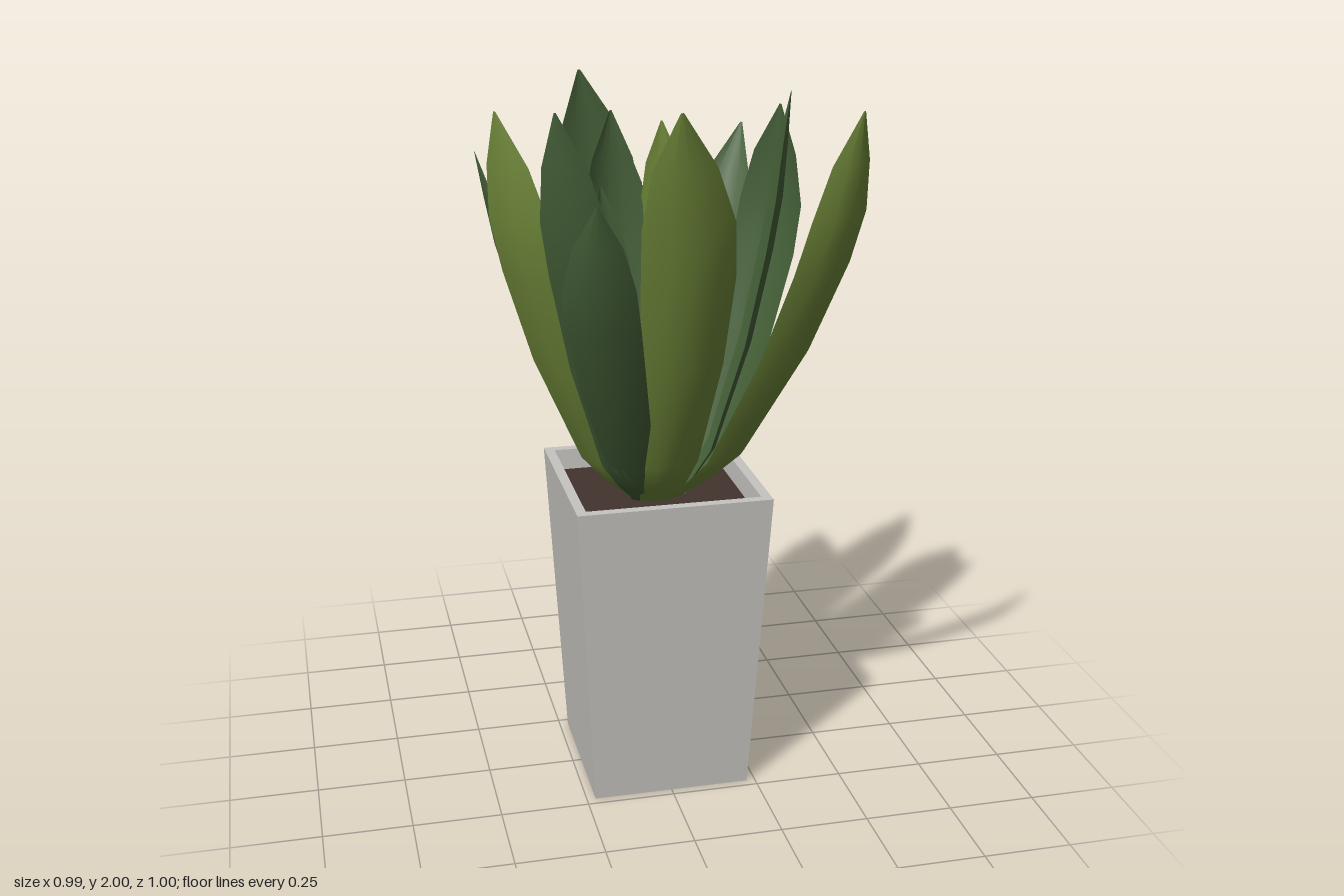
import * as THREE from 'three';

const concrete = new THREE.MeshStandardMaterial({ name: 'paleConcrete', color: 0xc6c4c0 });
const soilMat = new THREE.MeshStandardMaterial({ name: 'darkSoil', color: 0x42342e });
const olive = new THREE.MeshStandardMaterial({ name: 'oliveGreen', color: 0x718a3b, side: THREE.DoubleSide });
const green = new THREE.MeshStandardMaterial({ name: 'deepGreen', color: 0x456038, side: THREE.DoubleSide });

// Square tapered body from a [half width, height] profile
function squareLathe(profile) {
  const pts = profile.map(([h, y]) => new THREE.Vector2(h * Math.SQRT2, y));
  const g = new THREE.LatheGeometry(pts, 4, Math.PI / 4).toNonIndexed();
  g.computeVertexNormals();
  return g;
}

// Leaf width along its length: [t, fraction of the full half width]
const PROFILE = [[0, 0.4], [0.17, 0.52], [0.33, 0.66], [0.5, 0.9], [0.62, 1], [0.72, 0.97], [0.86, 0.66], [1, 0.03]];
const COLS = 4;

// Cupped leaf: tip [x,y,z], the two edges [x,z] at its widest, and the height there
function leafGeometry(tip, left, right, midY) {
  const half = new THREE.Vector3(right[0] - left[0], 0, right[1] - left[1]).multiplyScalar(0.5);
  const mid = new THREE.Vector3((left[0] + right[0]) / 2, midY, (left[1] + right[1]) / 2);
  const out = new THREE.Vector3(-half.z, 0, half.x).normalize();
  if (out.dot(mid) < 0) out.negate();
  const cup = 0.35 * half.length();
  mid.addScaledVector(out, cup);

  // The stem flares out of the soil, then bends upright
  const len = Math.hypot(mid.x, mid.z);
  const at = (r, y) => new THREE.Vector3(mid.x / len * r, y, mid.z / len * r);
  const spine = new THREE.CatmullRomCurve3([
    at(0.06, 0.83), at(0.06 + 0.34 * len, 0.99), mid, new THREE.Vector3(...tip)]);

  const pos = [], index = [];
  PROFILE.forEach(([t, w], i) => {
    const c = spine.getPoint(t);
    for (let j = 0; j <= COLS; j++) {
      const u = j / COLS * 2 - 1;
      const p = c.clone().addScaledVector(half, u * w).addScaledVector(out, -cup * w * u * u);
      pos.push(p.x, p.y, p.z);
      if (i && j) {
        const d = i * (COLS + 1) + j, b = d - COLS - 1;
        index.push(b - 1, b, d, b - 1, d, d - 1);
      }
    }
  });
  const g = new THREE.BufferGeometry();
  g.setAttribute('position', new THREE.Float32BufferAttribute(pos, 3));
  g.setIndex(index);
  g.computeVertexNormals();
  return g;
}

const LEAVES = [
  // front and sides
  ['frontLeaf', olive, [-0.045, 2, 0.5], [-0.125, 0.4], [0.135, 0.36], 1.64],
  ['frontLeftLeaf', olive, [0.45, 1.97, 0.39], [0.3, 0.4], [0.49, 0.28], 1.64],
  ['leftLeaf', green, [0.35, 1.98, 0.09], [0.28, 0.17], [0.31, 0.01], 1.64],
  ['backLeftLeaf', green, [0.37, 1.92, -0.07], [0.4, 0.03], [0.27, -0.14], 1.6],
  ['rightOliveLeaf', olive, [-0.46, 1.98, 0.25], [-0.46, 0.17], [-0.32, 0.3], 1.64],
  ['rightLeaf', green, [-0.49, 1.85, 0.07], [-0.41, 0], [-0.4, 0.16], 1.56],
  ['frontRightLeaf', green, [-0.34, 2, 0.43], [-0.36, 0.34], [-0.2, 0.41], 1.66],
  ['frontRightLowLeaf', green, [-0.25, 1.78, 0.48], [-0.32, 0.37], [-0.13, 0.4], 1.5],
  // back
  ['backSpreadLeaf', green, [0.38, 1.8, -0.5], [0.33, -0.29], [0.15, -0.38], 1.46],
  ['backLeaf', green, [-0.15, 2, -0.28], [0.03, -0.23], [-0.21, -0.25], 1.62],
  ['innerOliveLeaf', olive, [0.06, 1.87, -0.17], [0.14, -0.1], [0, -0.18], 1.58],
  ['innerBackLeaf', green, [-0.08, 1.9, -0.19], [0.01, -0.17], [-0.17, -0.14], 1.58],
  ['innerSmallLeaf', green, [-0.12, 1.7, -0.14], [-0.04, -0.12], [-0.16, -0.05], 1.45],
];

export function createModel() {
  const model = new THREE.Group();
  model.name = 'pottedPlant';
  const add = (name, geometry, material) => {
    const mesh = new THREE.Mesh(geometry, material);
    mesh.name = name;
    model.add(mesh);
    return mesh;
  };

  // Planter with a hollow rim, and the soil inside
  add('planter', squareLathe([[0, 0], [0.225, 0], [0.273, 0.9], [0.245, 0.9], [0.24, 0.82]]), concrete);
  const soil = add('soil', new THREE.PlaneGeometry(0.482, 0.482), soilMat);
  soil.rotation.x = -Math.PI / 2;
  soil.position.y = 0.84;

  for (const [name, material, ...shape] of LEAVES) add(name, leafGeometry(...shape), material);
  return model;
}
